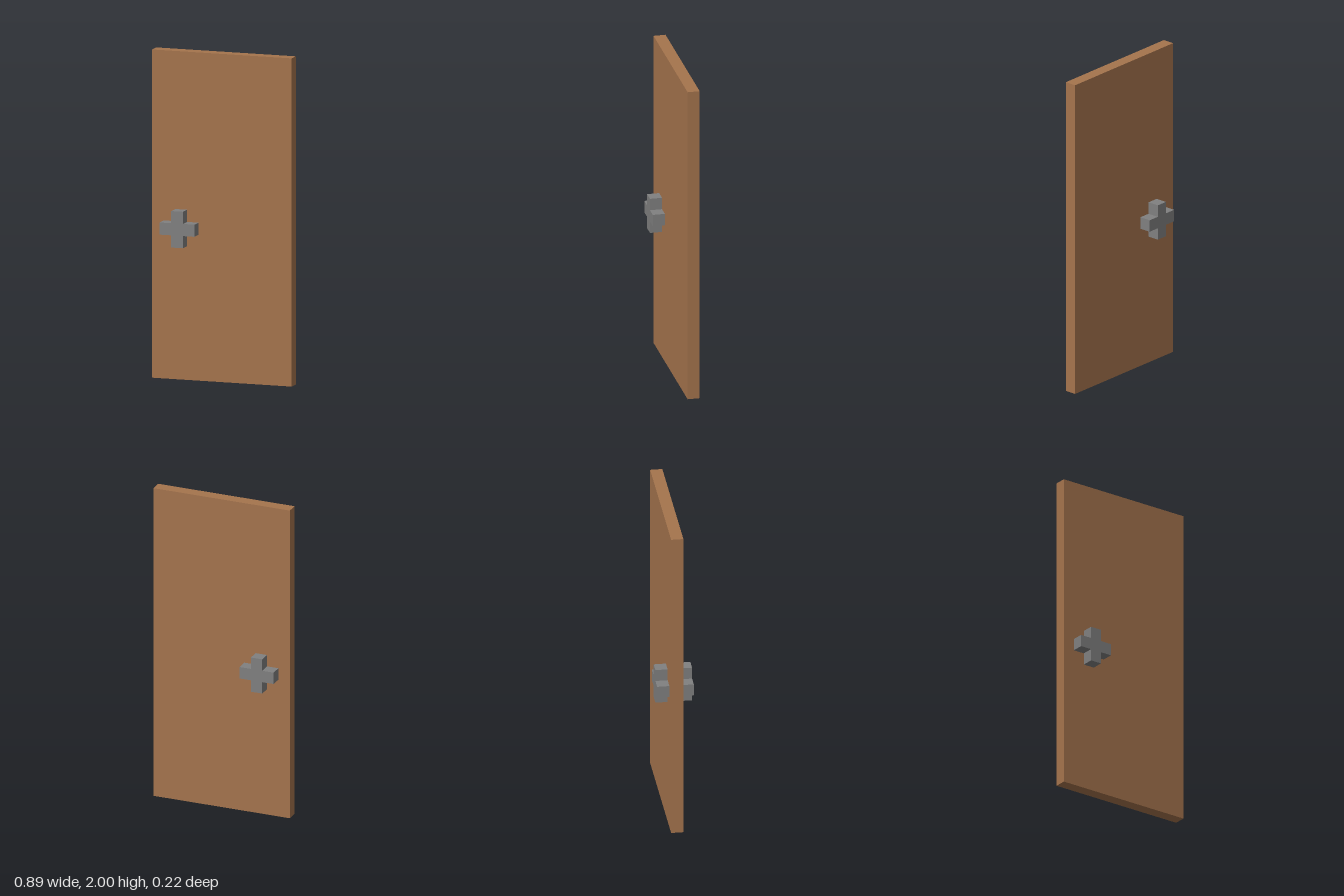
import * as THREE from 'three';

const U = 2 / 27; // one block of the grid the door is built on

export function createModel() {
  const wood = new THREE.MeshStandardMaterial({ color: 0xa5744d });
  wood.name = 'wood brown';
  const metal = new THREE.MeshStandardMaterial({ color: 0x808080 });
  metal.name = 'metal grey';

  const door = new THREE.Group();
  door.name = 'door';

  // Door panel, 12 x 27 x 1 blocks
  const panel = new THREE.Mesh(new THREE.BoxGeometry(12 * U, 27 * U, U), wood);
  panel.name = 'panel';
  panel.position.y = 13.5 * U;
  door.add(panel);

  // Plus-shaped knob outline, 3 blocks across with arms 1 block wide
  const a = U / 2, b = 1.5 * U;
  const plus = new THREE.Shape([
    [a, b], [-a, b], [-a, a], [-b, a], [-b, -a], [-a, -a],
    [-a, -b], [a, -b], [a, -a], [b, -a], [b, a], [a, a],
  ].map(([x, y]) => new THREE.Vector2(x, y)));
  const knobGeometry = new THREE.ExtrudeGeometry(plus, { depth: U, bevelEnabled: false });

  // One knob on each face of the panel
  for (const [name, z] of [['frontKnob', U / 2], ['backKnob', -1.5 * U]]) {
    const knob = new THREE.Mesh(knobGeometry, metal);
    knob.name = name;
    knob.position.set(-3.5 * U, 12.5 * U, z);
    door.add(knob);
  }

  return door;
}
